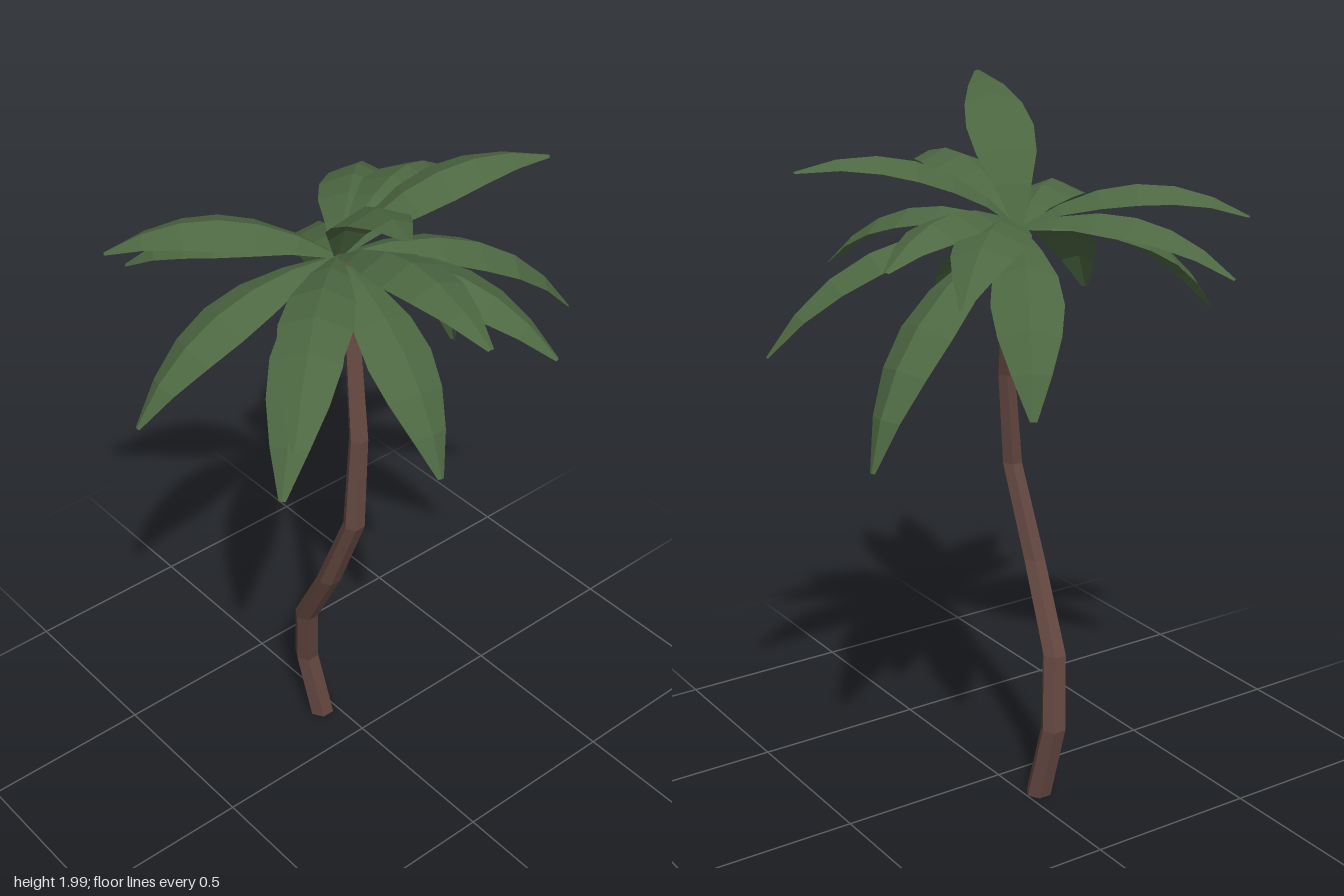
import * as THREE from 'three';

const bark = new THREE.MeshStandardMaterial({ color: 0x62463f, flatShading: true });
const green = new THREE.MeshStandardMaterial({ color: 0x4d6842, flatShading: true, side: THREE.DoubleSide });

// Trunk centre line: x, y, z, radius
const TRUNK = [
  [-0.148, 0, 0.04, 0.038], [-0.19, 0.22, 0.06, 0.037], [-0.148, 0.43, 0.09, 0.036],
  [-0.01, 0.67, 0.115, 0.034], [0.095, 0.93, 0.11, 0.031], [0.08, 1.2, 0.08, 0.027],
  [-0.037, 1.6, 0.012, 0.02], [-0.07, 1.66, 0.005, 0.018],
];

// Point where the fronds meet, and the tip of each frond
const CROWN = new THREE.Vector3(-0.09, 1.655, 0.005);
const TIPS = [
  [0.14, 1.35, -0.63], [0.45, 1.49, -0.27], [0.55, 1.72, 0.07], [0.39, 1.99, 0.19],
  [0.375, 1.54, 0.525], [0.3, 1.34, 0.51], [-0.555, 1.3, -0.27], [-0.49, 1.59, -0.43],
  [-0.29, 1.65, -0.52], [-0.2, 1.11, -0.52], [0.105, 1.83, -0.55], [0.41, 1.26, 0.085],
  [-0.54, 1.56, 0.365], [-0.44, 1.69, 0.49], [-0.15, 1.36, 0.62],
];

// Half-width along a frond, base to tip
const WIDTHS = [0.012, 0.05, 0.083, 0.093, 0.08, 0.05, 0.009];

// A cylinder whose rings are moved onto the centre line
function makeTrunk() {
  const n = TRUNK.length - 1;
  const geo = new THREE.CylinderGeometry(1, 1, 1, 6, n);
  const p = geo.attributes.position;
  for (let i = 0; i < p.count; i++) {
    const [x, y, z, r] = TRUNK[Math.round((p.getY(i) + 0.5) * n)];
    p.setXYZ(i, x + p.getX(i) * r, y, z + p.getZ(i) * r);
  }
  geo.computeVertexNormals();
  const mesh = new THREE.Mesh(geo, bark);
  mesh.name = 'trunk';
  return mesh;
}

// An arched frond folded along its midrib like a roof
function makeFrond(tip) {
  const chord = tip.clone().sub(CROWN);
  const length = chord.length();
  const side = new THREE.Vector3(-chord.z, 0, chord.x).normalize();
  const up = side.clone().cross(chord).normalize();
  const control = CROWN.clone().lerp(tip, 0.53).addScaledVector(up, 0.33 * length);
  const curve = new THREE.QuadraticBezierCurve3(CROWN, control, tip);
  const pos = [], index = [];
  WIDTHS.forEach((w, i) => {
    const t = i / (WIDTHS.length - 1);
    const c = curve.getPoint(t);
    const normal = side.clone().cross(curve.getTangent(t)).normalize();
    for (const s of [-1, 0, 1]) {
      const v = c.clone().addScaledVector(side, s * w);
      v.addScaledVector(normal, -Math.abs(s) * w * 0.4);
      pos.push(v.x, v.y, v.z);
    }
    if (i === 0) return;
    for (const k of [0, 1]) {
      const a = (i - 1) * 3 + k, b = a + 3;
      index.push(a, b, a + 1, a + 1, b, b + 1);
    }
  });
  const geo = new THREE.BufferGeometry();
  geo.setAttribute('position', new THREE.Float32BufferAttribute(pos, 3));
  geo.setIndex(index);
  // Keep the upper surface as the front side
  const a = new THREE.Vector3().fromArray(pos, 0);
  const b = new THREE.Vector3().fromArray(pos, 9);
  const c = new THREE.Vector3().fromArray(pos, 3);
  if (b.sub(a).cross(c.sub(a)).dot(up) < 0) geo.setIndex(index.reverse());
  geo.computeVertexNormals();
  const mesh = new THREE.Mesh(geo, green);
  mesh.name = 'frond';
  return mesh;
}

export function createModel() {
  const group = new THREE.Group();
  group.name = 'palmTree';
  const crown = new THREE.Group();
  crown.name = 'crown';
  for (const t of TIPS) crown.add(makeFrond(new THREE.Vector3(...t)));
  group.add(makeTrunk(), crown);
  return group;
}
